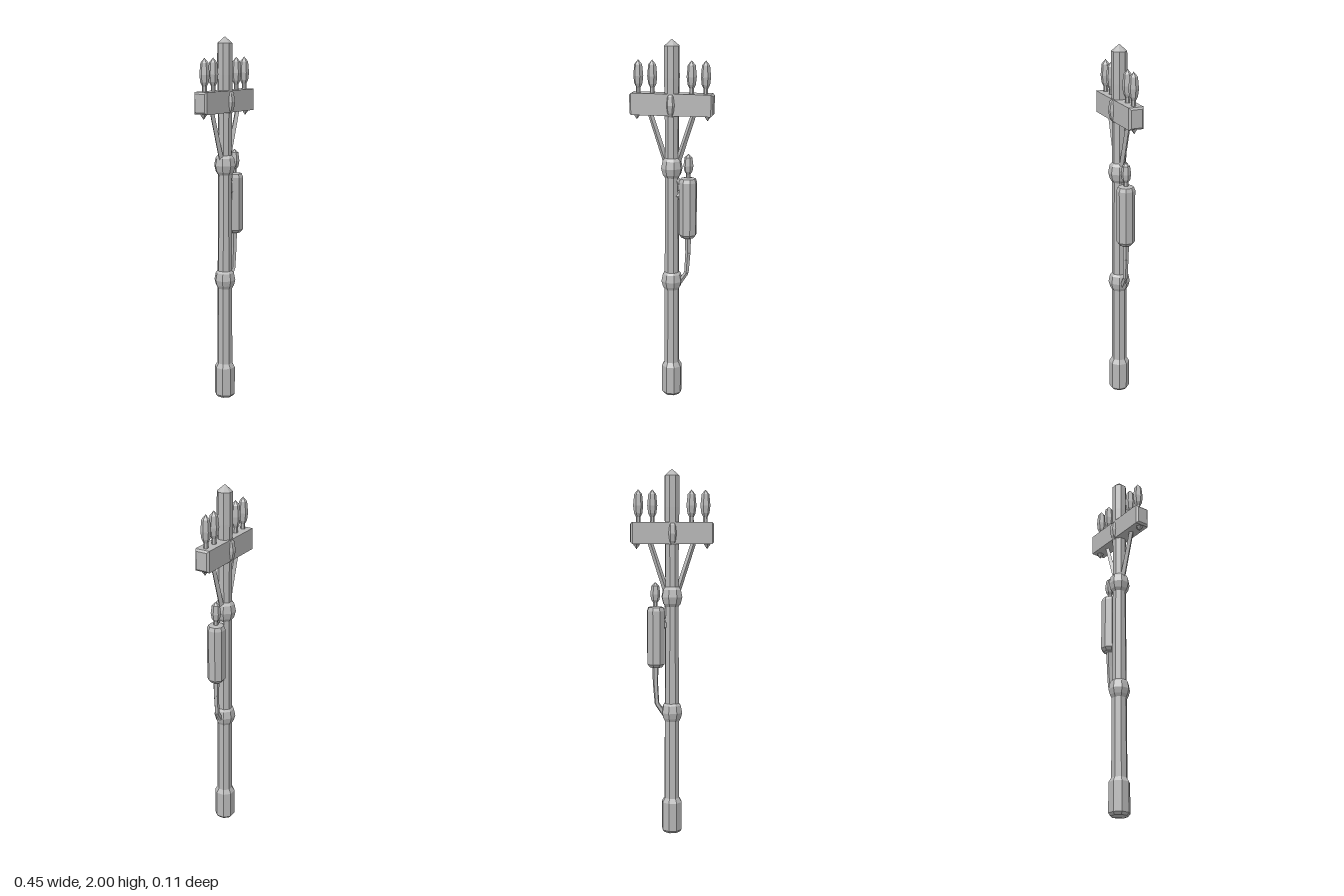
import * as THREE from 'three';

export function createModel() {
  const group = new THREE.Group();
  group.name = 'utilityPole';
  const clay = new THREE.MeshStandardMaterial({ color: 0xb8b8b8 });
  clay.name = 'light grey';

  const add = (name, geometry, x = 0, y = 0, z = 0) => {
    const flat = geometry.index ? geometry.toNonIndexed() : geometry;
    flat.computeVertexNormals(); // faceted look
    const mesh = new THREE.Mesh(flat, clay);
    mesh.name = name;
    mesh.position.set(x, y, z);
    group.add(mesh);
    return mesh;
  };

  // Faceted turned part from [radius, height] pairs
  const turned = (name, profile, sides, x = 0, z = 0) => {
    const points = profile.map(([r, y]) => new THREE.Vector2(r, y));
    const geometry = new THREE.LatheGeometry(points, sides);
    geometry.rotateY(Math.PI / sides);
    return add(name, geometry, x, 0, z);
  };

  // Straight bar between two points, slightly tapered
  const bar = (name, a, b, r1, r2, sides = 5) => {
    const start = new THREE.Vector3(...a), end = new THREE.Vector3(...b);
    const dir = end.clone().sub(start);
    const geometry = new THREE.CylinderGeometry(r2, r1, dir.length(), sides);
    const mid = start.add(end).multiplyScalar(0.5);
    add(name, geometry, mid.x, mid.y, mid.z).quaternion
      .setFromUnitVectors(new THREE.Vector3(0, 1, 0), dir.normalize());
  };

  // Box with chamfered ends along x
  const chamferedBeam = (name, w, h, d, c, y) => {
    const shape = new THREE.Shape();
    const a = h / 2 - c, b = d / 2 - c;
    shape.moveTo(-b, -a);
    shape.lineTo(b, -a);
    shape.lineTo(b, a);
    shape.lineTo(-b, a);
    shape.closePath();
    const geometry = new THREE.ExtrudeGeometry(shape, {
      depth: w - 2 * c, bevelEnabled: true, bevelThickness: c, bevelSize: c, bevelSegments: 1,
    });
    geometry.translate(0, 0, -(w - 2 * c) / 2);
    geometry.rotateY(Math.PI / 2);
    add(name, geometry, 0, y, 0);
  };

  // Pole with pointed cap
  turned('pole', [[0.043, 0.1], [0.041, 0.7], [0.037, 1.3], [0.039, 1.68],
    [0.042, 1.8], [0.041, 1.965], [0, 2]], 8);

  // Footing
  turned('footing', [[0, 0], [0.045, 0.008], [0.057, 0.022], [0.057, 0.18], [0.042, 0.205]], 8);

  // Collars
  turned('lowerCollar', [[0.04, 0.635], [0.051, 0.655], [0.059, 0.685], [0.051, 0.725], [0.038, 0.74]], 8);
  turned('upperCollar', [[0.038, 1.268], [0.05, 1.285], [0.059, 1.32], [0.051, 1.36], [0.038, 1.375]], 8);

  // Crossarm and its central clamp
  chamferedBeam('crossarm', 0.446, 0.115, 0.082, 0.01, 1.662);
  const clamp = turned('crossarmClamp', [[0.04, 1.598], [0.054, 1.62], [0.062, 1.66],
    [0.054, 1.705], [0.038, 1.722]], 8);
  clamp.scale.x = 0.55;

  // Insulators on the arm, braces and bolts below it
  const insulator = (name, x, y, s = 1) => turned(name, [[0.013, y - 0.01], [0.012, y + 0.03 * s],
    [0.022, y + 0.05 * s], [0.027, y + 0.09 * s], [0.021, y + 0.15 * s], [0, y + 0.175 * s]], 6, x);
  for (const side of [-1, 1]) {
    for (const x of [0.105, 0.18]) insulator('insulator', side * x, 1.717);
    bar('brace', [side * 0.028, 1.34, 0], [side * 0.118, 1.615, 0], 0.016, 0.014, 4);
    add('armBolt', new THREE.ConeGeometry(0.026, 0.035, 5).rotateX(Math.PI), side * 0.19, 1.594, 0);
  }

  // Transformer tank with bushing
  turned('transformer', [[0, 0.933], [0.035, 0.937], [0.049, 0.955], [0.05, 1.245],
    [0.042, 1.265], [0, 1.272]], 8, 0.088).rotation.z = 0;
  insulator('transformerBushing', 0.09, 1.268, 0.75);

  // Mounting brackets
  bar('upperBracket', [0.02, 1.27, 0], [0.06, 1.2, 0], 0.018, 0.022);
  bar('lowerBracket', [0.02, 1.17, 0], [0.065, 1.17, 0], 0.022, 0.022);

  // Cable from the tank to the lower collar
  const cable = [[0.09, 0.95, 0], [0.09, 0.85, 0], [0.082, 0.735, 0], [0.035, 0.665, 0]];
  for (let i = 0; i < 3; i++) {
    bar('cable', cable[i], cable[i + 1], [0.018, 0.015, 0.013][i], [0.015, 0.013, 0.014][i]);
  }
  return group;
}
